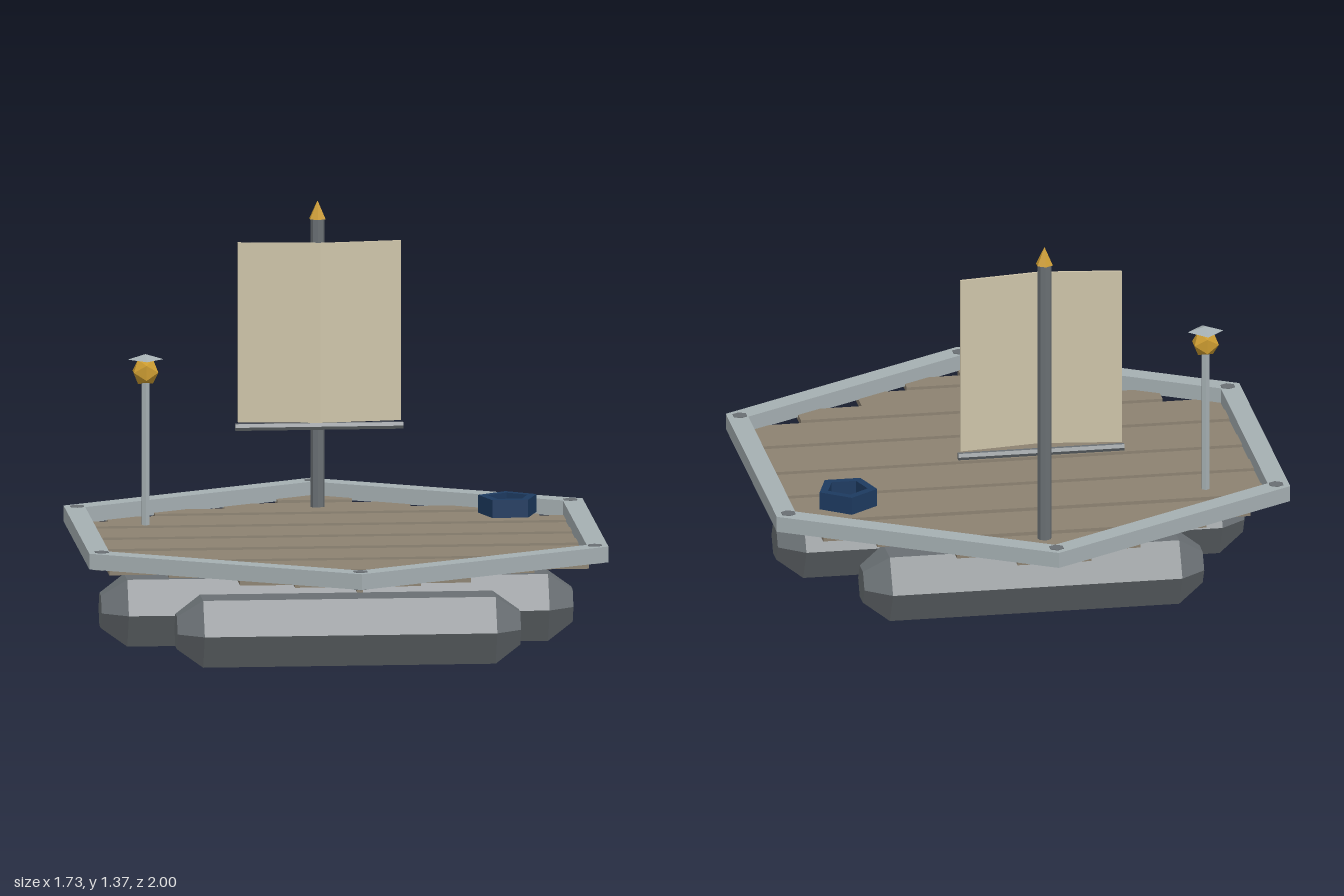
import * as THREE from 'three';

const mat = (name, color) => {
  const m = new THREE.MeshStandardMaterial({ color });
  m.name = name;
  return m;
};

// Give a geometry hard facets
const facet = (geo) => {
  const g = geo.index ? geo.toNonIndexed() : geo;
  g.computeVertexNormals();
  return g;
};

// Regular polygon with its first corner at +y of the shape plane
const polygon = (n, r, Type = THREE.Shape) => new Type(Array.from({ length: n }, (_, i) => {
  const a = Math.PI / 2 + (i * 2 * Math.PI) / n;
  return new THREE.Vector2(r * Math.cos(a), r * Math.sin(a));
}));

// Flat polygonal ring lying on the ground plane, first corner towards -z
const ring = (n, outer, inner, depth) => {
  const shape = polygon(n, outer);
  shape.holes.push(polygon(n, inner, THREE.Path));
  return new THREE.ExtrudeGeometry(shape, { depth, bevelEnabled: false }).rotateX(-Math.PI / 2);
};

export function createModel() {
  const root = new THREE.Group();
  root.name = 'raft';
  const paleMetal = mat('pale metal', 0xa5afb2);
  const darkMetal = mat('dark metal', 0x696f73);
  const wood = mat('weathered wood', 0x8c8271);
  const canvas = mat('canvas', 0xcdc3a8);
  const gold = mat('gold', 0xcb9b30);
  const navy = mat('navy', 0x1d3a60);

  const add = (name, geo, material, x = 0, y = 0, z = 0, parent = root) => {
    const mesh = new THREE.Mesh(geo, material);
    mesh.name = name;
    mesh.position.set(x, y, z);
    parent.add(mesh);
    return mesh;
  };
  const column = (rTop, rBottom, h, sides) => facet(new THREE.CylinderGeometry(rTop, rBottom, h, sides));

  // Three hexagonal floats with tapered ends, the middle one longest
  for (const [z, half] of [[-0.455, 0.573], [0, 0.787], [0.455, 0.573]]) {
    const profile = [[0, -half], [0.063, -half], [0.13, 0.085 - half], [0.13, half - 0.085], [0.063, half], [0, half]]
      .map(([r, y]) => new THREE.Vector2(r, y));
    add('float', facet(new THREE.LatheGeometry(profile, 6).rotateZ(Math.PI / 2)), darkMetal, 0, 0.1126, z);
  }

  // Deck planks: back edge, front edge, half length
  const planks = [
    [-0.915, -0.82, 0.125], [-0.8, -0.68, 0.31], [-0.665, -0.575, 0.555], [-0.565, -0.45, 0.72],
    [-0.435, -0.335, 0.83], [-0.325, -0.2, 0.83], [-0.19, -0.1, 0.83], [-0.09, 0.03, 0.83],
    [0.04, 0.135, 0.83], [0.15, 0.28, 0.83], [0.29, 0.38, 0.83], [0.39, 0.505, 0.8],
    [0.515, 0.615, 0.61], [0.63, 0.755, 0.385], [0.765, 0.85, 0.21], [0.865, 0.93, 0.01],
  ];
  const deck = new THREE.Group();
  deck.name = 'deck';
  root.add(deck);
  planks.forEach(([back, front, half], i) => {
    add('plank', new THREE.BoxGeometry(half * 2, 0.022, front - back), wood,
      0, i % 2 ? 0.324 : 0.33, (back + front) / 2, deck);
  });

  // Hexagonal rim with a bolt in each corner
  add('rim', ring(6, 1, 0.92, 0.053), paleMetal, 0, 0.333, 0);
  for (let i = 0; i < 6; i++) {
    const a = (i * Math.PI) / 3;
    add('cornerBolt', column(0.026, 0.026, 0.06, 6), darkMetal, 0.95 * Math.sin(a), 0.358, 0.95 * Math.cos(a));
  }

  // Mast with pointed tip
  add('mast', column(0.024, 0.024, 0.975, 8), darkMetal, 0, 0.8225, -0.715);
  add('mastTip', facet(new THREE.ConeGeometry(0.03, 0.062, 6)), gold, 0, 1.336, -0.715);

  // Boom and sail folded along its middle
  add('boom', column(0.013, 0.013, 0.56, 6).rotateZ(Math.PI / 2), darkMetal, 0, 0.617, -0.648);
  const chevron = new THREE.Shape([
    [-0.272, 0.65], [-0.272, 0.641], [0, 0.606], [0.272, 0.641], [0.272, 0.65], [0, 0.615],
  ].map(([x, y]) => new THREE.Vector2(x, y)));
  add('sail', new THREE.ExtrudeGeometry(chevron, { depth: 0.605, bevelEnabled: false })
    .rotateX(-Math.PI / 2), canvas, 0, 0.635, 0);

  // Lantern on a post
  const lantern = new THREE.Group();
  lantern.name = 'lantern';
  lantern.position.set(-0.605, 0, -0.355);
  root.add(lantern);
  add('lanternPost', column(0.014, 0.014, 0.5, 6), paleMetal, 0, 0.583, 0, lantern);
  add('lamp', facet(new THREE.IcosahedronGeometry(0.048, 0)), gold, 0, 0.857, 0, lantern);
  add('lanternCap', facet(new THREE.ConeGeometry(0.06, 0.018, 4)), paleMetal, 0, 0.907, 0, lantern);

  // Five-sided mooring ring
  add('mooringRing', ring(5, 0.102, 0.07, 0.06), navy, 0.605, 0.361, -0.355);

  return root;
}
